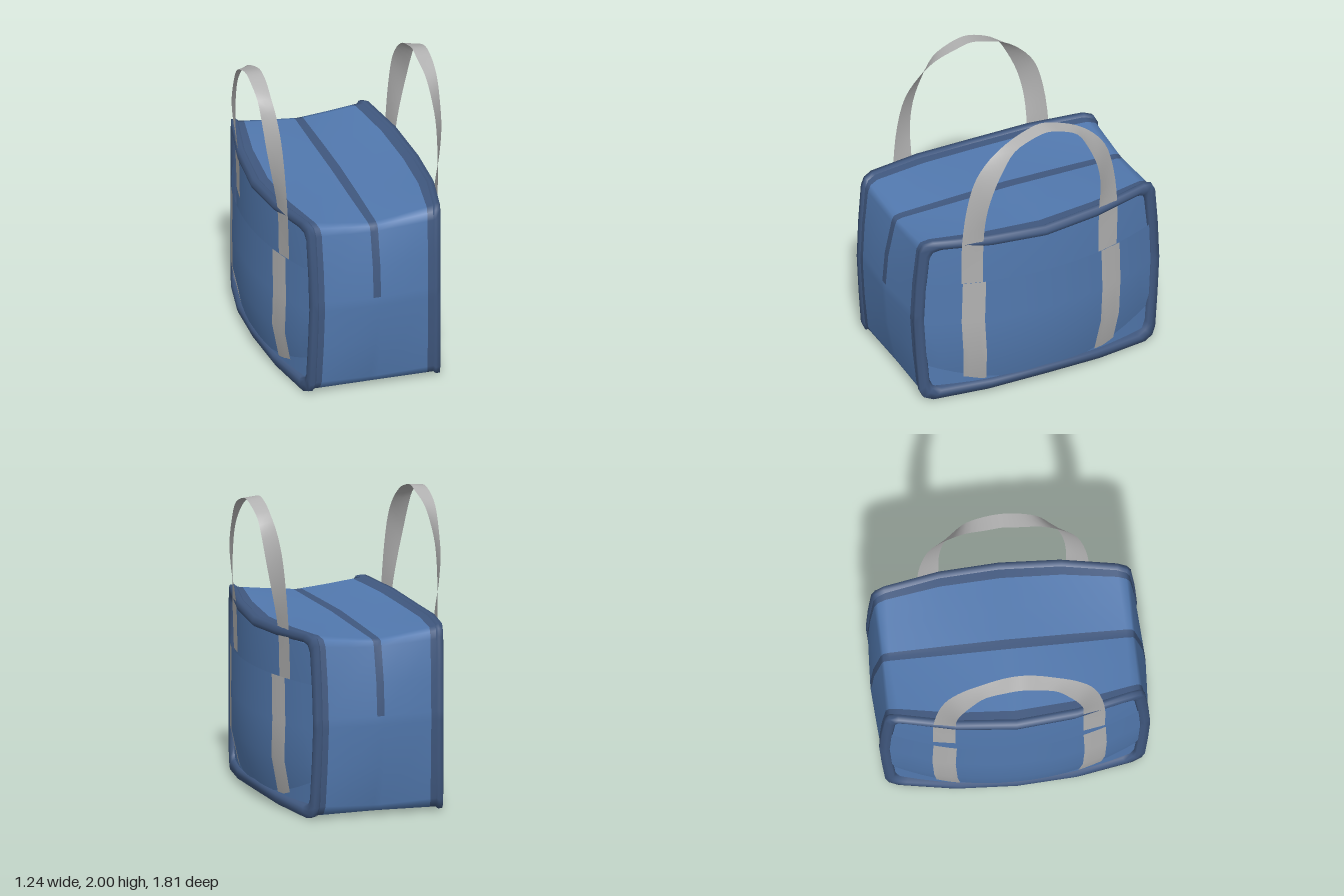
import * as THREE from 'three';

const paint = (name, color) => {
  const m = new THREE.MeshStandardMaterial({ color, side: THREE.DoubleSide });
  m.name = name;
  return m;
};

// Surface from a grid of points; pick(i, j) chooses a material index per cell.
function grid(rows, cols, point, { closed = false, pick = () => 0 } = {}) {
  const pos = [], cells = [[], []];
  for (let i = 0; i < rows; i++)
    for (let j = 0; j < cols; j++) pos.push(...point(i, j));
  for (let i = 0; i < (closed ? rows : rows - 1); i++)
    for (let j = 0; j < cols - 1; j++) {
      const a = i * cols + j, c = ((i + 1) % rows) * cols + j;
      cells[pick(i, j)].push(a, a + 1, c + 1, a, c + 1, c);
    }
  const g = new THREE.BufferGeometry();
  g.setAttribute('position', new THREE.Float32BufferAttribute(pos, 3));
  g.setIndex(cells.flat());
  g.addGroup(0, cells[0].length, 0);
  if (cells[1].length) g.addGroup(cells[0].length, cells[1].length, 1);
  g.computeVertexNormals();
  return g;
}

const lerp = THREE.MathUtils.lerp;

// Half outlines [z, y] from bottom centre, over the end, to top centre
const seamHalf = [[0, .05], [.4, .032], [.76, .012], [.82, .035], [.845, .09], [.865, .35], [.88, .62],
  [.877, .68], [.867, .9], [.845, 1.16], [.82, 1.21], [.76, 1.23], [.4, 1.21], [0, 1.19]];
const midHalf = [[0, .04], [.4, .03], [.76, .018], [.81, .03], [.83, .07], [.885, .35], [.905, .62],
  [.903, .68], [.885, .9], [.835, 1.13], [.82, 1.165], [.78, 1.175], [.4, 1.185], [0, 1.195]];
const mirrorLoop = half => [...half, ...half.slice(1, -1).reverse().map(([z, y]) => [-z, y])];
const seam = mirrorLoop(seamHalf), mid = mirrorLoop(midHalf);

// Half width of the bag at depth z
const halfWidth = z => .57 - .13 * (z / .87) ** 2;
const square = z => (z / .82) ** 2;
const pocketX = (z, y) => lerp(.56, .62, THREE.MathUtils.clamp((y - .09) / .26, 0, 1)) - .18 * square(z);
const panelX = z => .555 - .135 * square(z);

export function createModel() {
  const blue = paint('blue fabric', 0x5279af);
  const navy = paint('dark blue trim', 0x40587f);
  const grey = paint('grey webbing', 0xb2b2b2);
  const bag = new THREE.Group();
  bag.name = 'bag';
  const add = (parent, name, geometry, material) => {
    const mesh = new THREE.Mesh(geometry, material);
    mesh.name = name;
    parent.add(mesh);
  };

  // Body wrap, with edge trim and a central zip running over the top
  const us = [-1, -.83, -.45, -.06, 0, .06, .45, .83, 1];
  const body = grid(seam.length, us.length, (i, j) => {
    const u = us[j], k = Math.abs(u) ** 1.15;
    const z = lerp(mid[i][0], seam[i][0], k);
    return [u * (halfWidth(seam[i][0]) - .01), lerp(mid[i][1], seam[i][1], k), z];
  }, {
    closed: true,
    pick: (i, j) => {
      const edge = j === 0 || j === us.length - 2;
      const zip = (j === 3 || j === 4) && i >= 7 && i < seam.length - 7;
      return edge || zip ? 1 : 0;
    },
  });
  add(bag, 'body', body, [blue, navy]);

  for (const sign of [1, -1]) {
    const side = new THREE.Group();
    side.name = sign > 0 ? 'leftSide' : 'rightSide';
    side.scale.x = sign;
    bag.add(side);

    // Raised border: cross-section [inset, x offset] swept round the seam
    const section = [[0, -.045], [-.012, -.03], [-.01, -.002], [.025, .012], [.05, .008], [.062, -.008], [.06, -.06]];
    add(side, 'border', grid(seam.length, section.length, (i, j) => {
      const [z, y] = seam[i], [inset, out] = section[j];
      return [halfWidth(z) + out, .625 + (y - .625) * (1 - inset / .6), z * (1 - inset / .88)];
    }, { closed: true }), navy);

    // Side panel
    const panelY = [.09, .5, .9, 1.15];
    add(side, 'sidePanel', grid(17, 4, (i, j) => {
      const z = lerp(-.83, .83, i / 16);
      return [panelX(z) - (j === 3 ? .015 : 0), panelY[j], z];
    }), blue);

    // Open-topped pocket
    const pocketY = [.09, .35, .6, .9];
    add(side, 'pocket', grid(17, 4, (i, j) => {
      const z = lerp(-.83, .83, i / 16);
      return [pocketX(z, pocketY[j]), pocketY[j], z];
    }), blue);

    // Webbing stitched on the pocket
    const strapY = [.1, .35, .6, .902], strapZ = [.465, .488, .5, .4925];
    for (const end of [1, -1])
      add(side, end > 0 ? 'frontStrap' : 'backStrap', grid(5, 4, (i, j) => {
        const z = .02 + end * strapZ[j] + lerp(-.075, .075, i / 4);
        return [pocketX(z, strapY[j]) + .005, strapY[j], z];
      }), grey);

    // Handle: twisting ribbon between two edge curves
    const edgeCurve = half => new THREE.CatmullRomCurve3(
      [...half, ...half.slice(0, -1).reverse().map(([x, y, z]) => [x, y, -z])]
        .map(([x, y, z]) => new THREE.Vector3(x, y, z + .02)));
    const edges = [
      edgeCurve([[.505, .86, .565], [.515, 1.2, .565], [.525, 1.5, .53], [.53, 1.7, .47],
        [.53, 1.83, .37], [.53, 1.92, .25], [.52, 1.975, .11], [.52, 2, 0]]),
      edgeCurve([[.53, .86, .42], [.54, 1.2, .42], [.575, 1.42, .415], [.6, 1.6, .38],
        [.61, 1.77, .31], [.615, 1.9, .23], [.62, 1.965, .11], [.62, 1.99, 0]]),
    ];
    add(side, 'handle', grid(43, 3, (i, j) => {
      const [a, b] = edges.map(c => c.getPoint(i / 42));
      return a.lerp(b, j / 2).toArray();
    }), grey);
  }
  return bag;
}
